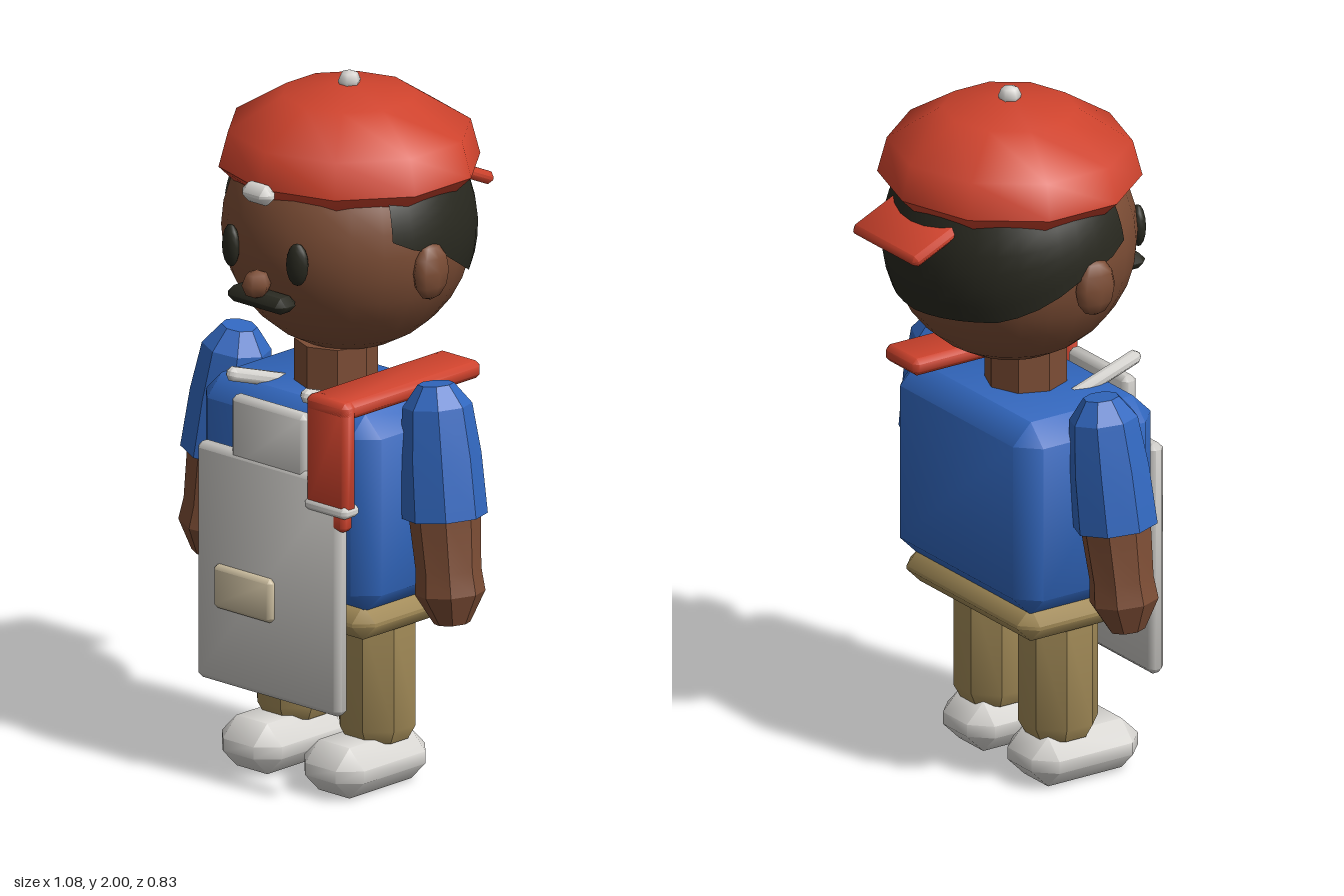
import * as THREE from 'three';
import { toCreasedNormals } from 'three/addons/utils/BufferGeometryUtils.js';
import { ConvexGeometry } from 'three/addons/geometries/ConvexGeometry.js';

const paint = (name, color, extra = {}) => new THREE.MeshStandardMaterial({ name, color, ...extra });

// Box with chamfered edges and corners
function chamferBox(w, h, d, b, crease = 0.9) {
  const pts = [], x = w / 2, y = h / 2, z = d / 2;
  for (const i of [-1, 1]) for (const j of [-1, 1]) for (const k of [-1, 1]) {
    pts.push(new THREE.Vector3(i * x, j * (y - b), k * (z - b)));
    pts.push(new THREE.Vector3(i * (x - b), j * y, k * (z - b)));
    pts.push(new THREE.Vector3(i * (x - b), j * (y - b), k * z));
  }
  return toCreasedNormals(new ConvexGeometry(pts), crease);
}

// Faceted or smooth turned shape from [radius, y] pairs, bottom to top
function turned(profile, sides, crease) {
  const g = new THREE.LatheGeometry(profile.map(([r, y]) => new THREE.Vector2(r, y)), sides);
  return toCreasedNormals(g, crease);
}

// Patch of a sphere round the back of the head with a shaped lower hairline
function hairPatch(radius) {
  const g = new THREE.PlaneGeometry(1, 1, 24, 6);
  const p = g.attributes.position;
  const line = [[0, -0.15], [0.9, -0.13], [1.25, -0.08], [1.57, -0.01], [1.85, 0.02], [2.03, 0.05]];
  for (let i = 0; i < p.count; i++) {
    const a = p.getX(i) * 4.06, t = p.getY(i) + 0.5, m = Math.abs(a);
    let k = 0;
    while (k < line.length - 2 && m > line[k + 1][0]) k++;
    const f = (m - line[k][0]) / (line[k + 1][0] - line[k][0]);
    const low = THREE.MathUtils.lerp(line[k][1], line[k + 1][1], f);
    const y = THREE.MathUtils.lerp(low, 0.17, t);
    const r = Math.sqrt(radius * radius - y * y);
    p.setXYZ(i, -Math.sin(a) * r, y, -Math.cos(a) * r);
  }
  g.computeVertexNormals();
  return g;
}

export function createModel() {
  const model = new THREE.Group();
  model.name = 'capWearingWorker';
  const red = paint('red', 0xcf432d);
  const blue = paint('shirt blue', 0x3268c0);
  const skin = paint('skin brown', 0x7c4d35);
  const tan = paint('trouser tan', 0xa58d59);
  const dark = paint('hair black', 0x28281f, { side: THREE.DoubleSide });
  const white = paint('off white', 0xd8d6d2);
  const grey = paint('apron grey', 0xc8c6c2);
  const beige = paint('pocket beige', 0xcbbd9f);

  const add = (name, geo, mat, x, y, z, parent = model) => {
    const m = new THREE.Mesh(geo, mat);
    m.name = name;
    m.position.set(x, y, z);
    parent.add(m);
    return m;
  };
  const ball = (rx, ry, rz, ws = 12, hs = 8) =>
    new THREE.SphereGeometry(1, ws, hs).scale(rx, ry, rz);

  // Head, hair and face
  add('head', ball(0.348, 0.348, 0.348, 24, 16), skin, 0, 1.56, 0.005);
  add('hair', hairPatch(0.356), dark, 0, 1.56, 0.005);
  add('nose', ball(0.04, 0.042, 0.045, 6, 4), skin, 0, 1.47, 0.37);
  add('moustache', chamferBox(0.22, 0.046, 0.08, 0.022), dark, 0, 1.424, 0.35);

  // Cap with backward brim, badge and button
  const cap = turned([[0, 1.685], [0.31, 1.68], [0.372, 1.74], [0.345, 1.84],
    [0.19, 1.935], [0, 1.965]], 10, 1.0);
  add('cap', cap.scale(1, 1, 0.965), red, 0, 0, 0);
  const brim = add('capBrim', chamferBox(0.31, 0.036, 0.17, 0.014), red, 0, 1.65, -0.345);
  brim.rotation.x = -0.42;
  add('capButton', ball(0.033, 0.03, 0.033, 6, 4), white, 0, 1.97, 0);
  add('capBadge', chamferBox(0.11, 0.056, 0.06, 0.024), white, 0, 1.73, 0.362);

  // Neck, torso and hips
  add('neck', turned([[0, 1.05], [0.115, 1.05], [0.115, 1.24], [0, 1.24]], 8, 0.3), skin, 0, 0, 0.053);
  add('shirtBody', chamferBox(0.66, 0.57, 0.46, 0.06), blue, 0, 0.835, 0.052);
  add('hips', chamferBox(0.62, 0.1, 0.43, 0.045), tan, 0, 0.52, 0.055);

  const sleeve = turned([[0, -0.375], [0.118, -0.37], [0.112, -0.2], [0.096, -0.06],
    [0.05, 0], [0, 0]], 8, 0.3);
  const forearm = turned([[0, -0.68], [0.05, -0.67], [0.097, -0.585], [0.09, -0.52],
    [0.1, -0.35], [0, -0.35]], 8, 0.3);
  const leg = turned([[0, 0.13], [0.09, 0.13], [0.112, 0.17], [0.112, 0.5], [0, 0.5]], 8, 0.6);
  leg.rotateY(Math.PI / 8);

  for (const s of [-1, 1]) {
    const side = s > 0 ? 'left' : 'right';
    add(side + 'Eye', ball(0.033, 0.061, 0.022), dark, s * 0.125, 1.547, 0.34).rotation.y = s * 0.35;
    add(side + 'Ear', ball(0.036, 0.082, 0.065, 8, 6), skin, s * 0.347, 1.508, 0.043);

    // Arm
    const arm = new THREE.Group();
    arm.name = side + 'Arm';
    arm.position.set(s * 0.37, 1.19, 0.047);
    arm.rotation.set(-0.04, 0, s * 0.13);
    model.add(arm);
    add(side + 'Sleeve', sleeve, blue, 0, 0, 0, arm);
    add(side + 'Forearm', forearm, skin, 0, 0, 0, arm);

    // Leg and shoe
    add(side + 'Leg', leg, tan, s * 0.155, 0, 0.053);
    add(side + 'Shoe', chamferBox(0.225, 0.145, 0.355, 0.055), white, s * 0.155, 0.0725, 0.102);

    // Apron shoulder tie
    const tie = add(side + 'ApronTie', chamferBox(0.04, 0.04, 0.24, 0.014), white, s * 0.14, 1.135, 0.22);
    tie.rotation.x = -0.32;
  }

  // Apron hung in front of the body
  add('apron', chamferBox(0.54, 0.68, 0.05, 0.016), grey, 0.005, 0.61, 0.312);
  add('apronBib', chamferBox(0.28, 0.22, 0.046, 0.014), grey, 0, 1.0, 0.308);
  add('apronPocket', chamferBox(0.22, 0.125, 0.036, 0.012), beige, -0.073, 0.555, 0.338);

  // Towel strap over the left shoulder with a buckle
  add('strapTop', chamferBox(0.155, 0.05, 0.55, 0.014), red, 0.228, 1.155, 0.065);
  add('strapFront', chamferBox(0.155, 0.33, 0.052, 0.014), red, 0.228, 1.015, 0.314);
  add('strapEnd', chamferBox(0.13, 0.09, 0.046, 0.012), red, 0.23, 0.852, 0.314);
  add('strapBuckle', chamferBox(0.16, 0.034, 0.068, 0.012), white, 0.23, 0.867, 0.314);
  return model;
}
